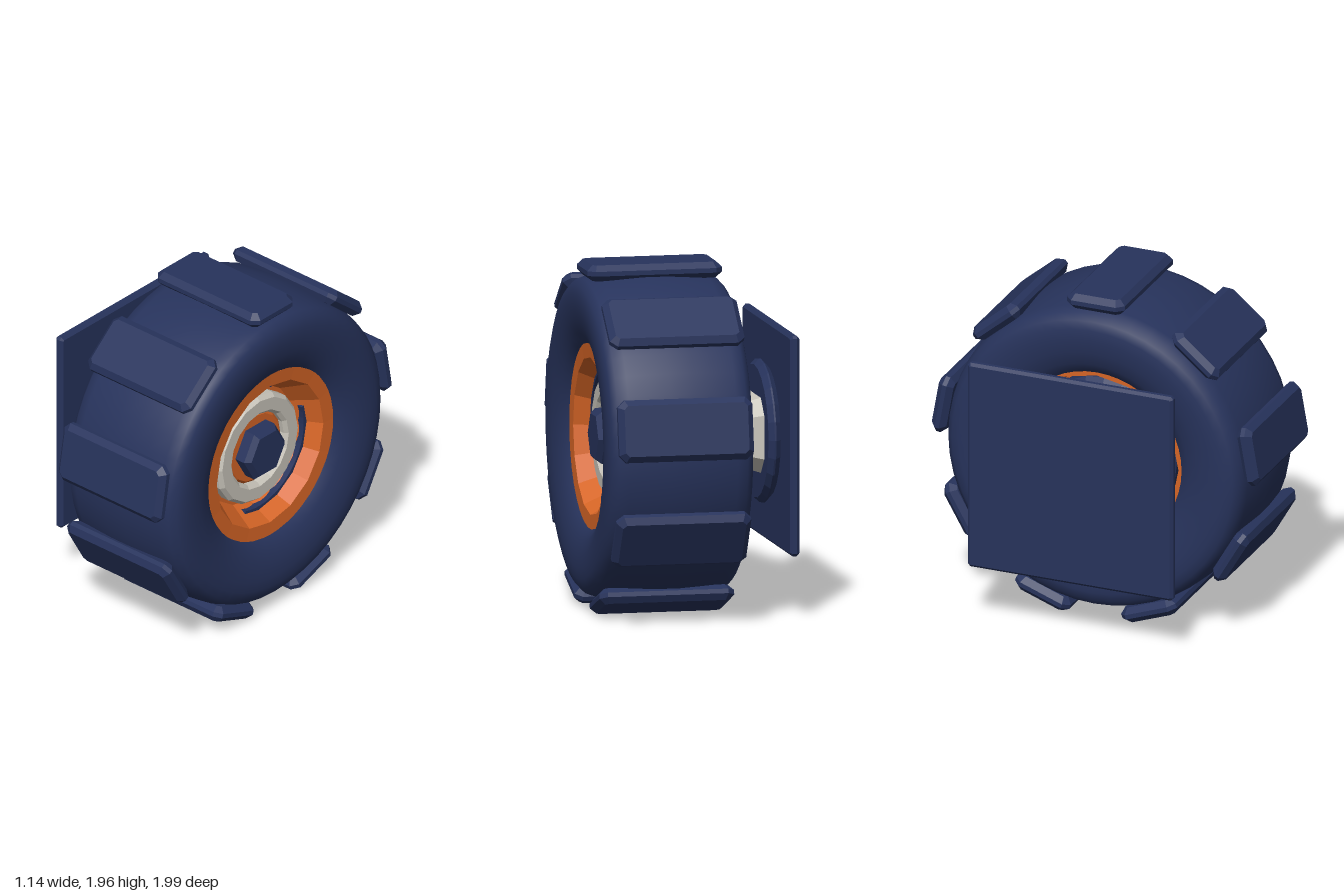
import * as THREE from 'three';

const navy = new THREE.MeshStandardMaterial({ color: 0x27335c });
navy.name = 'navy rubber';
const orange = new THREE.MeshStandardMaterial({ color: 0xd66526 });
orange.name = 'orange rim';
const grey = new THREE.MeshStandardMaterial({ color: 0xc9c5bb });
grey.name = 'pale grey metal';

// Facets a geometry by splitting its shared corners
function faceted(geo) {
  const g = geo.index ? geo.toNonIndexed() : geo;
  g.computeVertexNormals();
  return g;
}

// Spins [radius, x] points round the x axis
function spin(points, segments) {
  const geo = new THREE.LatheGeometry(points.map(([r, x]) => new THREE.Vector2(r, x)), segments);
  return geo.rotateZ(-Math.PI / 2);
}

// Extrudes a shape from z = 0 to depth, with one-step bevels inside the depth
function slab(shape, depth, bevel) {
  return new THREE.ExtrudeGeometry(shape, {
    depth: depth - 2 * bevel, bevelEnabled: bevel > 0, bevelThickness: bevel,
    bevelSize: bevel, bevelOffset: -bevel, bevelSegments: 1, curveSegments: 10,
  }).translate(0, 0, bevel);
}

// Rectangle with cut corners
function cutRect(w, h, cut) {
  const a = w / 2, b = h / 2;
  return new THREE.Shape([
    [a, -b + cut], [a, b - cut], [a - cut, b], [-a + cut, b],
    [-a, b - cut], [-a, -b + cut], [-a + cut, -b], [a - cut, -b],
  ].map(([x, y]) => new THREE.Vector2(x, y)));
}

// Turns a slab so that its depth runs along +x, starting at x
const alongX = (geo, x) => geo.rotateY(Math.PI / 2).translate(x, 0, 0);

export function createModel() {
  const model = new THREE.Group();
  model.name = 'wheelAssembly';
  model.position.y = 0.985;
  const root = new THREE.Group();
  root.add(model);

  function add(name, geo, material, parent = model) {
    const mesh = new THREE.Mesh(geo, material);
    mesh.name = name;
    parent.add(mesh);
    return mesh;
  }

  // Tyre: half profile mirrored about its middle
  const mid = 0.148;
  const half = [
    [0.5, -0.17], [0.53, -0.202], [0.58, -0.235], [0.66, -0.262], [0.74, -0.27],
    [0.8, -0.268], [0.85, -0.253], [0.885, -0.22], [0.905, -0.16], [0.918, -0.03], [0.928, 0.08],
  ];
  const mirrored = half.map(([r, x]) => [r, 2 * mid - x]).reverse();
  add('tyre', spin([...half, ...mirrored], 48), navy);

  // Nine tread blocks
  for (let i = 0; i < 9; i++) {
    const geo = slab(cutRect(0.77, 0.35, 0.04), 0.09, 0.032);
    geo.rotateX(-Math.PI / 2).translate(mid, 0.895, 0);
    add('treadBlock' + (i + 1), geo, navy).rotation.x = (i * Math.PI * 2) / 9;
  }

  // Dished rim, open at the back
  add('rim', faceted(spin([
    [0, 0], [0.46, 0], [0.495, -0.185], [0.53, -0.185],
    [0.53, 0.49], [0.445, 0.485], [0.36, 0.33], [0, 0.33],
  ], 16)), orange);

  // Two raised arcs on the rim dish
  const deg = Math.PI / 180;
  [73, 253].forEach((start, i) => {
    const arc = new THREE.Shape();
    arc.absarc(0, 0, 0.415, start * deg, (start + 124) * deg, false);
    arc.absarc(0, 0, 0.375, (start + 124) * deg, start * deg, true);
    add('rimArc' + (i + 1), alongX(slab(arc, 0.07, 0), 0.33), navy);
  });

  // Hub: bevelled ring, cap and hex nut
  add('hubRing', faceted(spin([
    [0.22, 0.32], [0.335, 0.32], [0.335, 0.385], [0.315, 0.41],
    [0.24, 0.41], [0.22, 0.39], [0.22, 0.32],
  ], 16)), grey);
  add('hubCap', faceted(spin([
    [0, 0.3], [0.222, 0.3], [0.222, 0.36], [0.205, 0.375], [0, 0.375],
  ], 16)), orange);
  add('hubNut', faceted(spin([
    [0, 0.33], [0.168, 0.33], [0.168, 0.44], [0.138, 0.47], [0, 0.47],
  ], 6)), navy);

  // Drum behind the rim
  add('backDrum', faceted(spin([
    [0, -0.1], [0.41, -0.1], [0.44, -0.07], [0.44, 0.02], [0, 0.02],
  ], 24)), navy);

  // Tapered axle housing narrowing towards the wheel
  const housing = alongX(slab(cutRect(0.54, 0.43, 0.09), 0.38, 0), -0.46);
  const p = housing.attributes.position;
  for (let i = 0; i < p.count; i++) {
    const s = 1 - 1.4 * (p.getX(i) + 0.46);
    p.setY(i, p.getY(i) * s);
    p.setZ(i, p.getZ(i) * s);
  }
  add('axleHousing', faceted(housing), grey);

  // Cross block emerging from the housing sides
  add('axleBlock', alongX(slab(cutRect(0.47, 0.25, 0.025), 0.33, 0.015), -0.37), orange);

  // Mounting flange and square plate
  add('mountFlange', faceted(spin([
    [0, -0.525], [0.37, -0.525], [0.405, -0.49], [0.405, -0.48], [0.375, -0.45], [0, -0.45],
  ], 24)), navy);
  add('mountPlate', alongX(slab(cutRect(1.245, 1.245, 0.015), 0.055, 0.016), -0.575), navy);

  return root;
}
